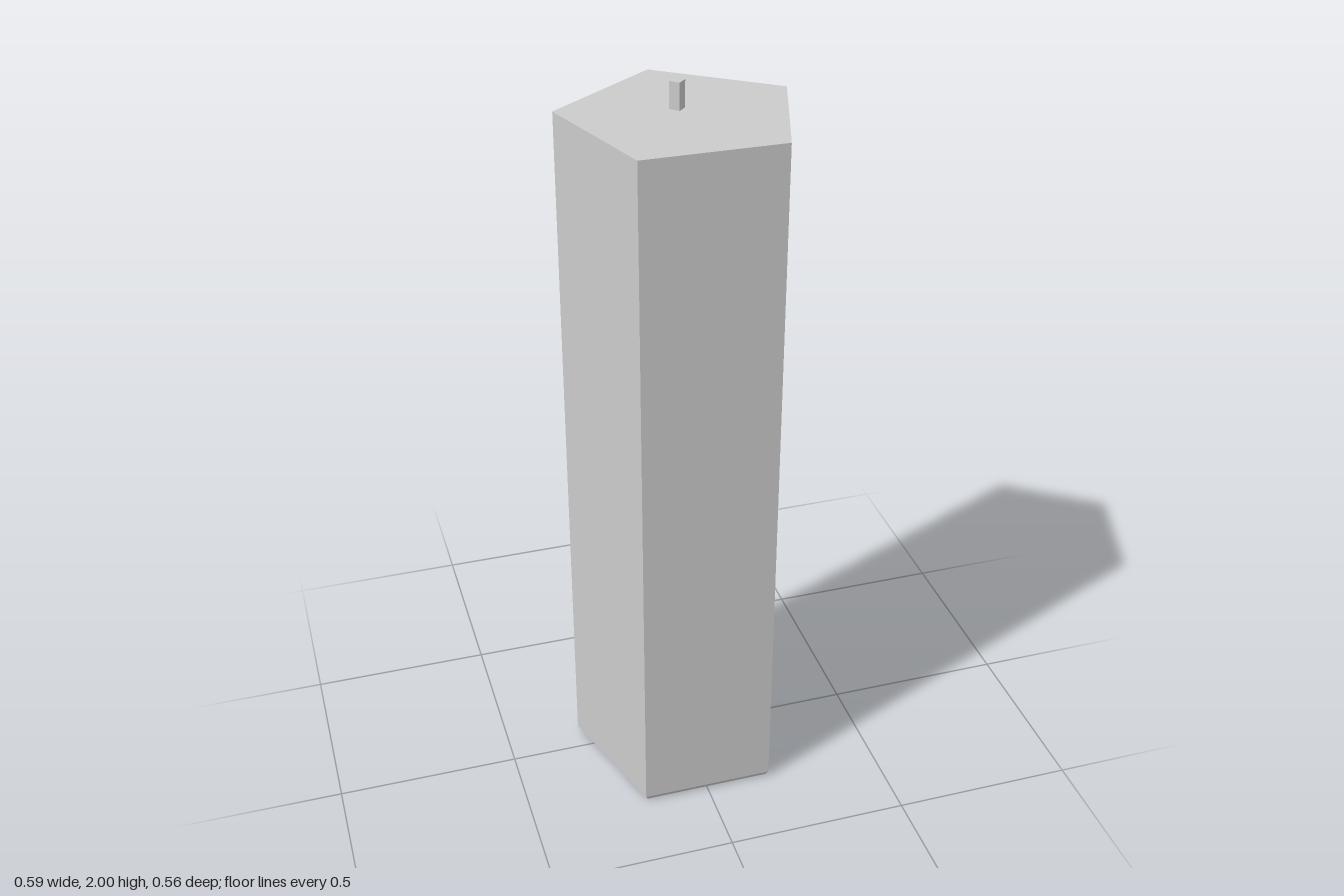
import * as THREE from 'three';

const material = new THREE.MeshStandardMaterial({ color: 0xcccccc, flatShading: true });

// Faceted solid turned from a [radius, y] profile, with one corner facing the back
function prism(name, profile, sides, x, z) {
  const points = profile.map(([r, y]) => new THREE.Vector2(r, y));
  const mesh = new THREE.Mesh(new THREE.LatheGeometry(points, sides, Math.PI), material);
  mesh.name = name;
  mesh.position.set(x, 0, z);
  return mesh;
}

export function createModel() {
  const group = new THREE.Group();
  group.name = 'candle';

  // Five-sided wax body, very slightly tapered, with a small chamfer at the foot
  group.add(prism('waxBody', [
    [0, 0], [0.297, 0], [0.309, 0.016], [0.311, 1.93], [0, 1.93],
  ], 5, 0, 0.028));

  // Square wick standing on the top
  group.add(prism('wick', [
    [0, 1.92], [0.02, 1.92], [0.02, 2], [0, 2],
  ], 4, -0.005, -0.004));

  return group;
}
